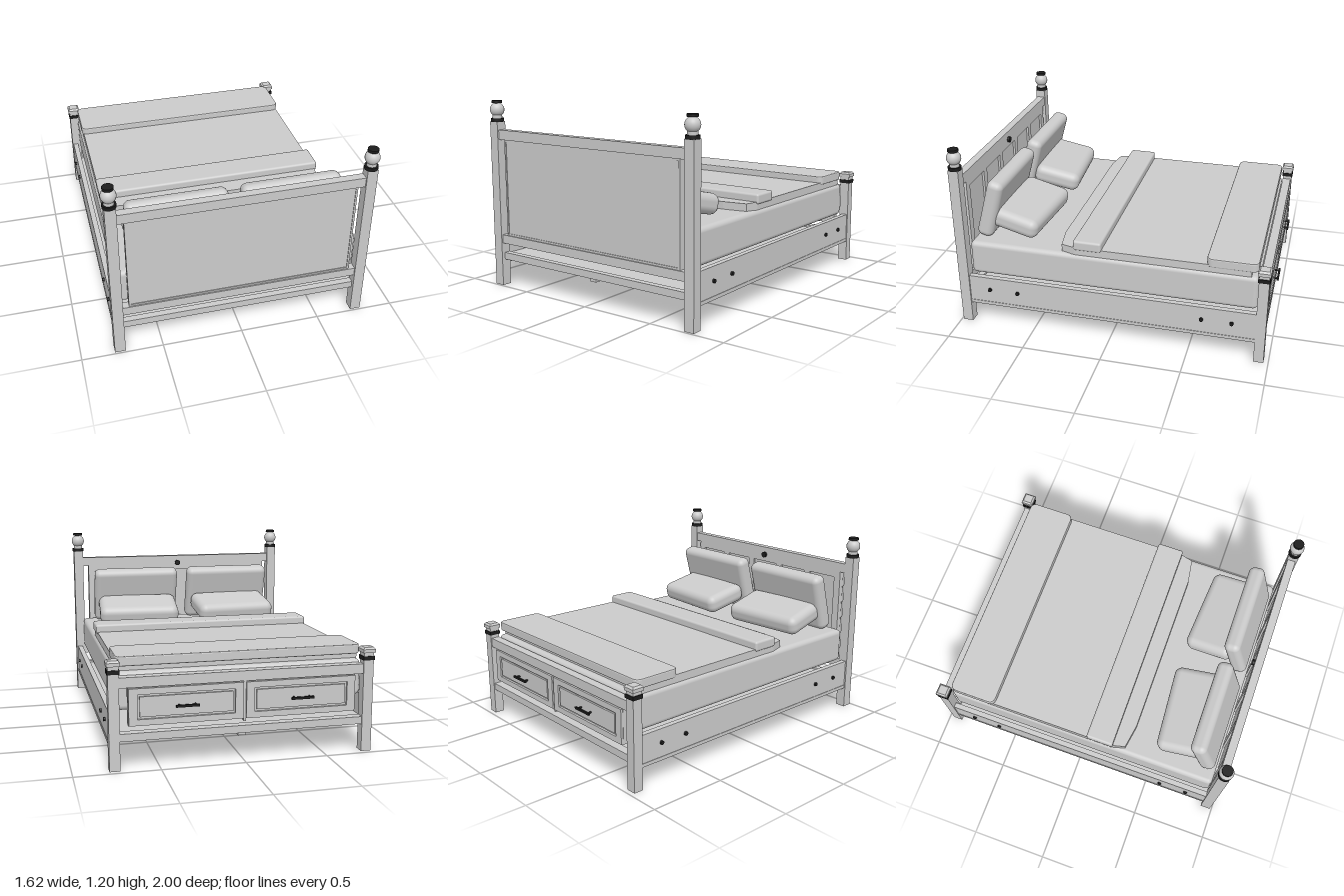
import * as THREE from 'three';
import { RoundedBoxGeometry } from 'three/addons/geometries/RoundedBoxGeometry.js';

const grey = new THREE.MeshStandardMaterial({ color: 0xcccccc });
const black = new THREE.MeshStandardMaterial({ color: 0x1c1c1c });

export function createModel() {
  const model = new THREE.Group();

  const add = (name, geometry, x, y, z, material = grey) => {
    const mesh = new THREE.Mesh(geometry, material);
    mesh.name = name;
    mesh.position.set(x, y, z);
    model.add(mesh);
    return mesh;
  };
  // Box given by its lower and upper bounds on each axis
  const box = (name, [x0, x1], [y0, y1], [z0, z1], material) =>
    add(name, new THREE.BoxGeometry(x1 - x0, y1 - y0, z1 - z0),
      (x0 + x1) / 2, (y0 + y1) / 2, (z0 + z1) / 2, material);
  const softBox = (name, [x0, x1], [y0, y1], [z0, z1], r) =>
    add(name, new RoundedBoxGeometry(x1 - x0, y1 - y0, z1 - z0, 4, r),
      (x0 + x1) / 2, (y0 + y1) / 2, (z0 + z1) / 2);
  const disc = (name, r, h, x, y, z, material) =>
    add(name, new THREE.CylinderGeometry(r, r, h, 32), x, y, z, material);

  for (const s of [-1, 1]) {
    // Head posts with ball finials
    const hx = s * 0.763, hz = 0.955;
    box('headPost', [hx - 0.033, hx + 0.033], [0, 1.065], [0.922, 0.988]);
    disc('headPostCollar', 0.041, 0.022, hx, 1.075, hz, black);
    disc('headPostNeck', 0.03, 0.03, hx, 1.098, hz);
    add('finialBall', new THREE.SphereGeometry(0.045, 32, 20), hx, 1.14, hz);
    disc('finialCap', 0.033, 0.016, hx, 1.19, hz, black);

    // Foot posts with collar, neck and chamfered square cap
    const fx = s * 0.761, fz = -0.94;
    box('footPost', [fx - 0.031, fx + 0.031], [0, 0.61], [fz - 0.031, fz + 0.031]);
    box('footPostCollar', [fx - 0.036, fx + 0.036], [0.562, 0.586], [fz - 0.036, fz + 0.036], black);
    box('footPostCap', [fx - 0.039, fx + 0.039], [0.607, 0.628], [fz - 0.039, fz + 0.039]);
    const top = add('footPostCapTop', new THREE.CylinderGeometry(0.04, 0.055, 0.012, 4).toNonIndexed(), fx, 0.634, fz);
    top.geometry.computeVertexNormals();
    top.rotation.y = Math.PI / 4;

    // Side rails, lower strip and bolts
    const railX = [s * 0.752, s * 0.786].sort((a, b) => a - b);
    const stripX = [s * 0.752, s * 0.789].sort((a, b) => a - b);
    box('sideRail', railX, [0.155, 0.335], [-0.91, 0.925]);
    box('sideRailStrip', stripX, [0.138, 0.16], [-0.91, 0.925]);
    for (const z of [0.785, 0.6, -0.58, -0.765])
      disc('railBolt', 0.012, 0.016, s * 0.79, 0.25, z, black).rotation.z = Math.PI / 2;
  }

  // Headboard: rails, panel and the framing on its inner face
  box('headTopRail', [-0.735, 0.735], [0.953, 1.015], [0.927, 0.978]);
  box('headBottomRail', [-0.735, 0.735], [0.28, 0.335], [0.927, 0.978]);
  box('headPanel', [-0.69, 0.69], [0.335, 0.955], [0.942, 0.965]);
  box('headInnerRail', [-0.69, 0.69], [0.91, 0.955], [0.927, 0.945]);
  for (const x of [-0.665, -0.4, -0.135, 0.135, 0.4, 0.665])
    box('headMuntin', [x - 0.025, x + 0.025], [0.335, 0.912], [0.928, 0.945]);
  for (const s of [-1, 1])
    box('headPanelBead', [s * 0.685 - 0.006, s * 0.685 + 0.006], [0.335, 0.953], [0.96, 0.97]);
  for (const y of [0.341, 0.947])
    box('headPanelBead', [-0.69, 0.69], [y - 0.006, y + 0.006], [0.96, 0.97]);
  disc('headKnob', 0.02, 0.016, 0, 0.96, 0.92, black).rotation.x = Math.PI / 2;

  // Base board, end rails, centre beam and leg
  box('baseBoard', [-0.755, 0.755], [0.17, 0.2], [-0.91, 0.925]);
  box('headLowerRail', [-0.735, 0.735], [0.17, 0.215], [0.925, 0.965]);
  box('footLowerRail', [-0.735, 0.735], [0.17, 0.215], [-0.965, -0.91]);
  box('centreBeam', [-0.022, 0.022], [0.135, 0.172], [-0.9, 0.92]);
  box('centreLeg', [-0.022, 0.022], [0, 0.14], [-0.012, 0.032]);

  // Footboard with two drawers
  box('footTopRail', [-0.735, 0.735], [0.48, 0.54], [-0.965, -0.91]);
  box('footBackPanel', [-0.68, 0.68], [0.256, 0.485], [-0.955, -0.92]);
  box('drawerDivider', [-0.007, 0.007], [0.24, 0.485], [-0.96, -0.925]);
  for (const s of [-1, 1]) {
    const cx = s * 0.343;
    // Drawer front: a frame with a raised field inside
    const outline = (w, h) => new THREE.Shape([[-w, -h], [w, -h], [w, h], [-w, h]]
      .map(([x, y]) => new THREE.Vector2(x, y)));
    const frame = outline(0.335, 0.108);
    frame.holes.push(outline(0.285, 0.072));
    add('drawerFrame', new THREE.ExtrudeGeometry(frame, { depth: 0.02, bevelEnabled: false }), cx, 0.366, -0.969);
    box('drawerField', [cx - 0.272, cx + 0.272], [0.307, 0.425], [-0.966, -0.95]);
    // Pull handle
    box('handleBar', [cx - 0.068, cx + 0.068], [0.358, 0.372], [-1, -0.988], black);
    for (const d of [-0.048, 0.048])
      disc('handleStem', 0.006, 0.03, cx + d, 0.365, -0.977, black).rotation.x = Math.PI / 2;
  }

  // Mattress
  softBox('mattress', [-0.74, 0.74], [0.333, 0.556], [-0.905, 0.921], 0.03);

  // Blanket with cut corners at the head end (shape y runs along -z)
  const half = [[0.728, 0.86], [0.728, -0.23], [0.705, -0.318], [0.55, -0.343]];
  const blanket = new THREE.Shape([...half, ...half.map(([x, y]) => [-x, y]).reverse()]
    .map(([x, y]) => new THREE.Vector2(x, y)));
  add('blanket', new THREE.ExtrudeGeometry(blanket, { depth: 0.05, bevelEnabled: false }), 0, 0.553, 0)
    .rotation.x = -Math.PI / 2;
  softBox('blanketFold', [-0.737, 0.737], [0.588, 0.652], [0.06, 0.238], 0.014);

  // Folded throw at the foot end, rounded in plan
  const w = 0.737, z0 = 0.59, z1 = 0.9, r = 0.045;
  const throwShape = new THREE.Shape();
  throwShape.moveTo(-w + r, z0).lineTo(w - r, z0).quadraticCurveTo(w, z0, w, z0 + r)
    .lineTo(w, z1 - r).quadraticCurveTo(w, z1, w - r, z1)
    .lineTo(-w + r, z1).quadraticCurveTo(-w, z1, -w, z1 - r)
    .lineTo(-w, z0 + r).quadraticCurveTo(-w, z0, -w + r, z0);
  add('footThrow', new THREE.ExtrudeGeometry(throwShape, {
    depth: 0.042, bevelThickness: 0.008, bevelSize: 0.008, bevelOffset: -0.008, bevelSegments: 2,
  }), 0, 0.596, 0).rotation.x = -Math.PI / 2;

  // Pillows: one leaning on the headboard and one resting against it, per side
  for (const s of [-1, 1]) {
    const upright = add('uprightPillow', new RoundedBoxGeometry(0.62, 0.395, 0.105, 5, 0.04), s * 0.35, 0.748, 0.81);
    upright.rotation.x = -0.27;
    const lying = add('lyingPillow', new RoundedBoxGeometry(0.57, 0.128, 0.32, 5, 0.05), s * 0.357, 0.655, 0.645);
    lying.rotation.set(-0.22, s * -0.075, 0, 'YXZ');
  }

  return model;
}
